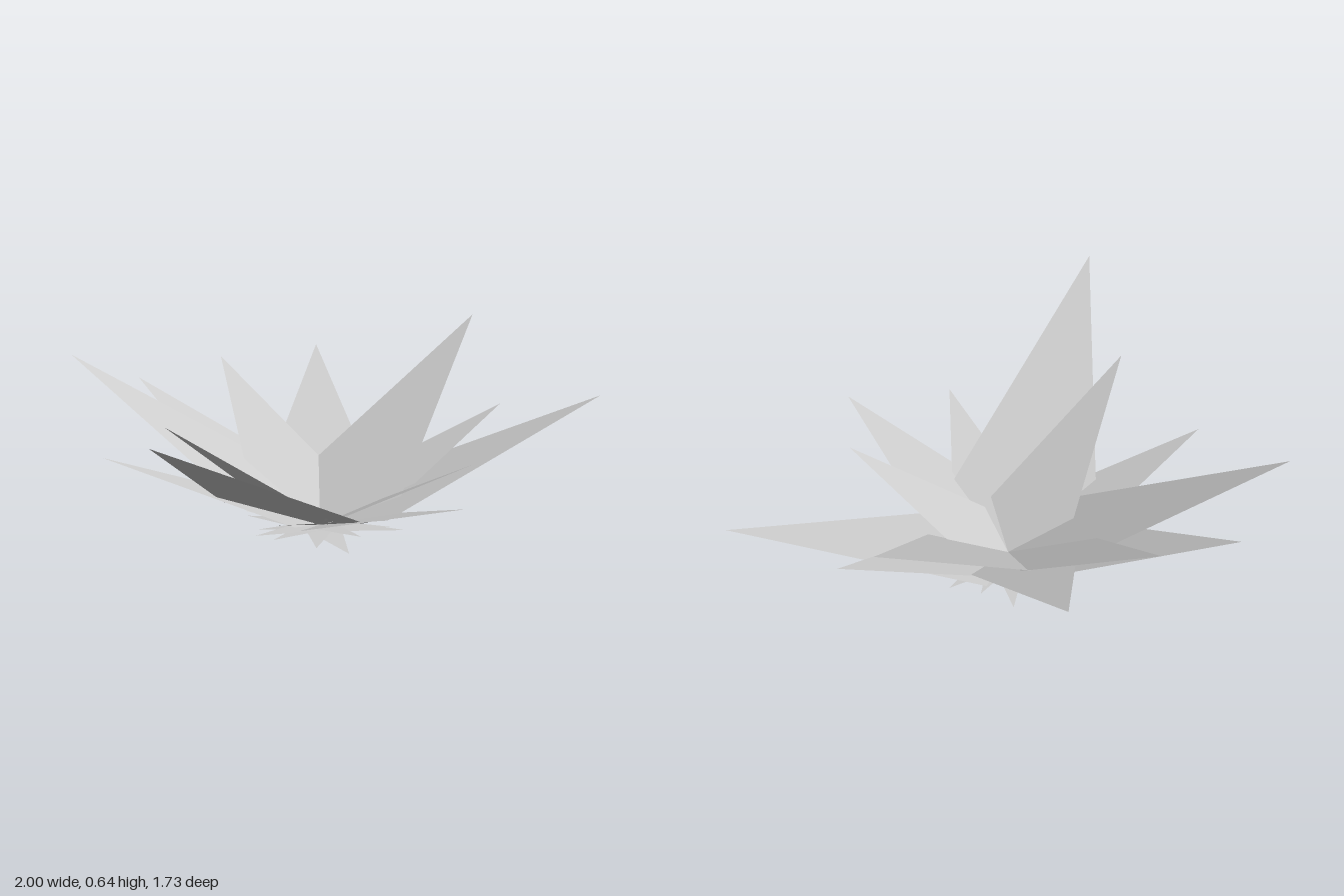
import * as THREE from 'three';

// Large blade tips: x, y, z
const TIPS = [
  [-1.0, 0.605, 0.67], [-0.64, 0.565, -0.775], [-0.325, 0.42, -0.865],
  [-0.005, 0.48, -0.8], [0.425, 0.475, -0.815], [0.855, 0.64, -0.345],
  [0.78, 0.365, -0.03], [1.0, 0.445, 0.305], [0.29, 0.34, 0.545],
  [0.055, 0.3, 0.865], [-0.305, 0.265, 0.695], [-0.705, 0.515, 0.16],
  [-0.78, 0.33, -0.19],
];

// Flat kite from a root point to a tip, widest near the root
function blade(name, root, tip, material, shoulder = 0.18, halfWidth = 0.212) {
  const axis = tip.clone().sub(root);
  const side = new THREE.Vector3(axis.z, 0, -axis.x).normalize()
    .multiplyScalar(axis.length() * halfWidth);
  const mid = root.clone().addScaledVector(axis, shoulder);
  const points = [root, mid.clone().add(side), tip, mid.clone().sub(side)];
  const geometry = new THREE.BufferGeometry().setFromPoints(points);
  geometry.setIndex([0, 1, 2, 0, 2, 3]);
  geometry.computeVertexNormals();
  // Keep the upper side as the front
  if (geometry.attributes.normal.getY(0) < 0) {
    geometry.setIndex([0, 2, 1, 0, 3, 2]);
    geometry.computeVertexNormals();
  }
  const mesh = new THREE.Mesh(geometry, material);
  mesh.name = name;
  return mesh;
}

export function createModel() {
  const group = new THREE.Group();
  group.name = 'spikyPlant';
  const grey = new THREE.MeshStandardMaterial({ color: 0xcccccc, side: THREE.DoubleSide });
  grey.name = 'pale grey';

  // Large blades fanning out from the centre
  const root = new THREE.Vector3(-0.015, 0.02, 0.005);
  TIPS.forEach((t, i) => group.add(blade('blade' + (i + 1), root, new THREE.Vector3(...t), grey)));

  // Low fringe of small leaves close to the ground
  const count = 14;
  for (let i = 0; i < count; i++) {
    const angle = (i + 0.3 * Math.sin(i * 2.4)) / count * Math.PI * 2;
    const reach = 0.27 + 0.04 * Math.sin(i * 3.7);
    const tip = new THREE.Vector3(
      Math.cos(angle) * reach, 0.01 * (i % 4), Math.sin(angle) * reach);
    group.add(blade('smallLeaf' + (i + 1), root, tip, grey));
  }
  return group;
}
